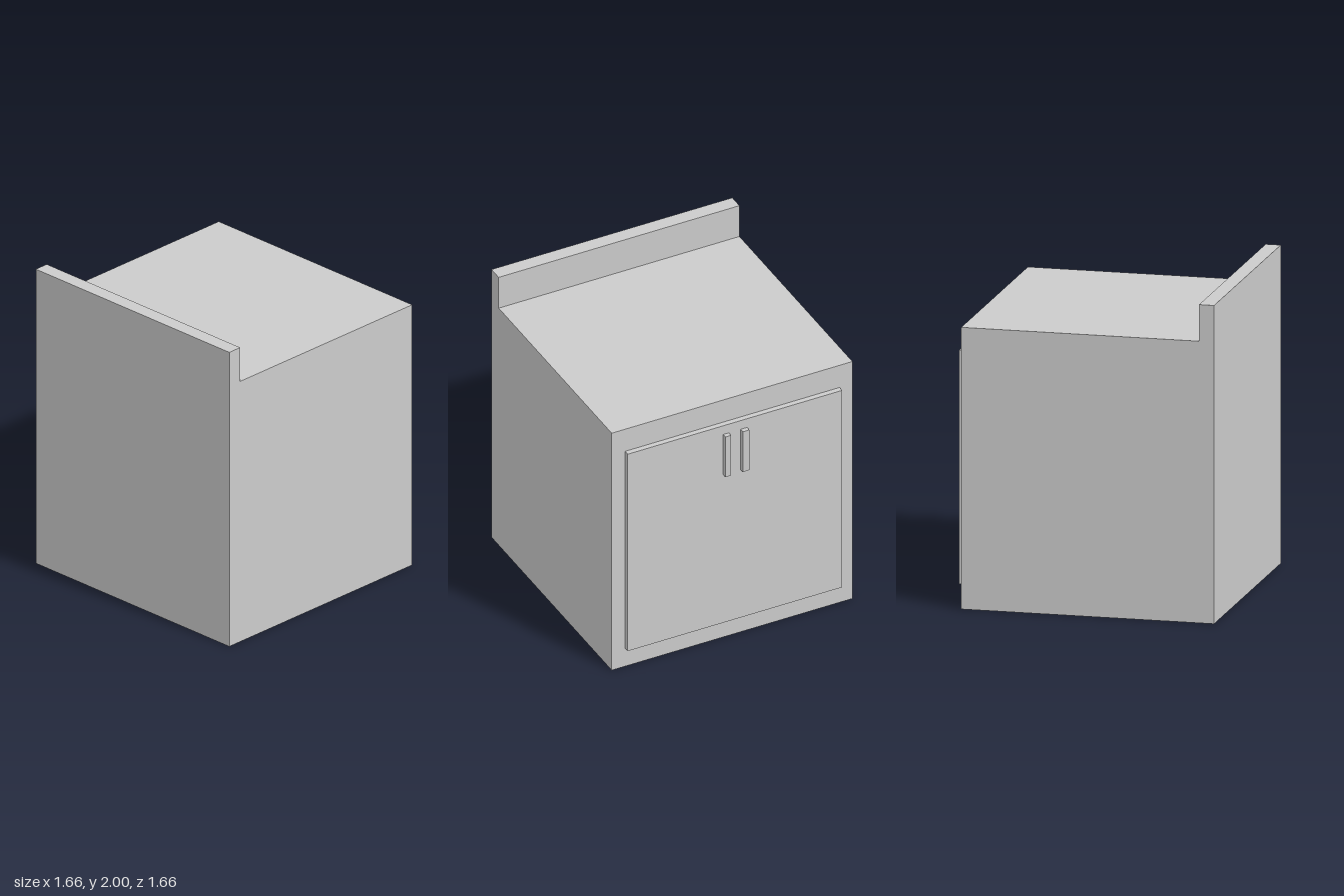
import * as THREE from 'three';

const material = new THREE.MeshStandardMaterial({ color: 0xcccccc, flatShading: true });

// Box given by its minimum and maximum corners
function box(name, [x0, y0, z0], [x1, y1, z1]) {
  const geometry = new THREE.BoxGeometry(x1 - x0, y1 - y0, z1 - z0);
  geometry.translate((x0 + x1) / 2, (y0 + y1) / 2, (z0 + z1) / 2);
  const mesh = new THREE.Mesh(geometry, material);
  mesh.name = name;
  return mesh;
}

export function createModel() {
  const group = new THREE.Group();
  group.name = 'cabinet';

  // Cabinet body and raised backsplash: one L-shaped profile extruded along z
  const profile = new THREE.Shape([
    [-0.83, 0], [0.765, 0], [0.765, 1.77], [-0.735, 1.77], [-0.735, 2], [-0.83, 2],
  ].map(([x, y]) => new THREE.Vector2(x, y)));
  const bodyGeometry = new THREE.ExtrudeGeometry(profile, { depth: 1.658, bevelEnabled: false });
  bodyGeometry.translate(0, 0, -0.829);
  const body = new THREE.Mesh(bodyGeometry, material);
  body.name = 'cabinetBody';
  group.add(body);

  // Raised door panel on the +x side
  group.add(box('doorPanel', [0.765, 0.135, -0.74], [0.80, 1.605, 0.737]));

  // Pair of upright bar handles
  group.add(box('leftHandle', [0.80, 1.24, 0.04], [0.83, 1.54, 0.079]));
  group.add(box('rightHandle', [0.80, 1.24, -0.085], [0.83, 1.54, -0.04]));

  return group;
}
